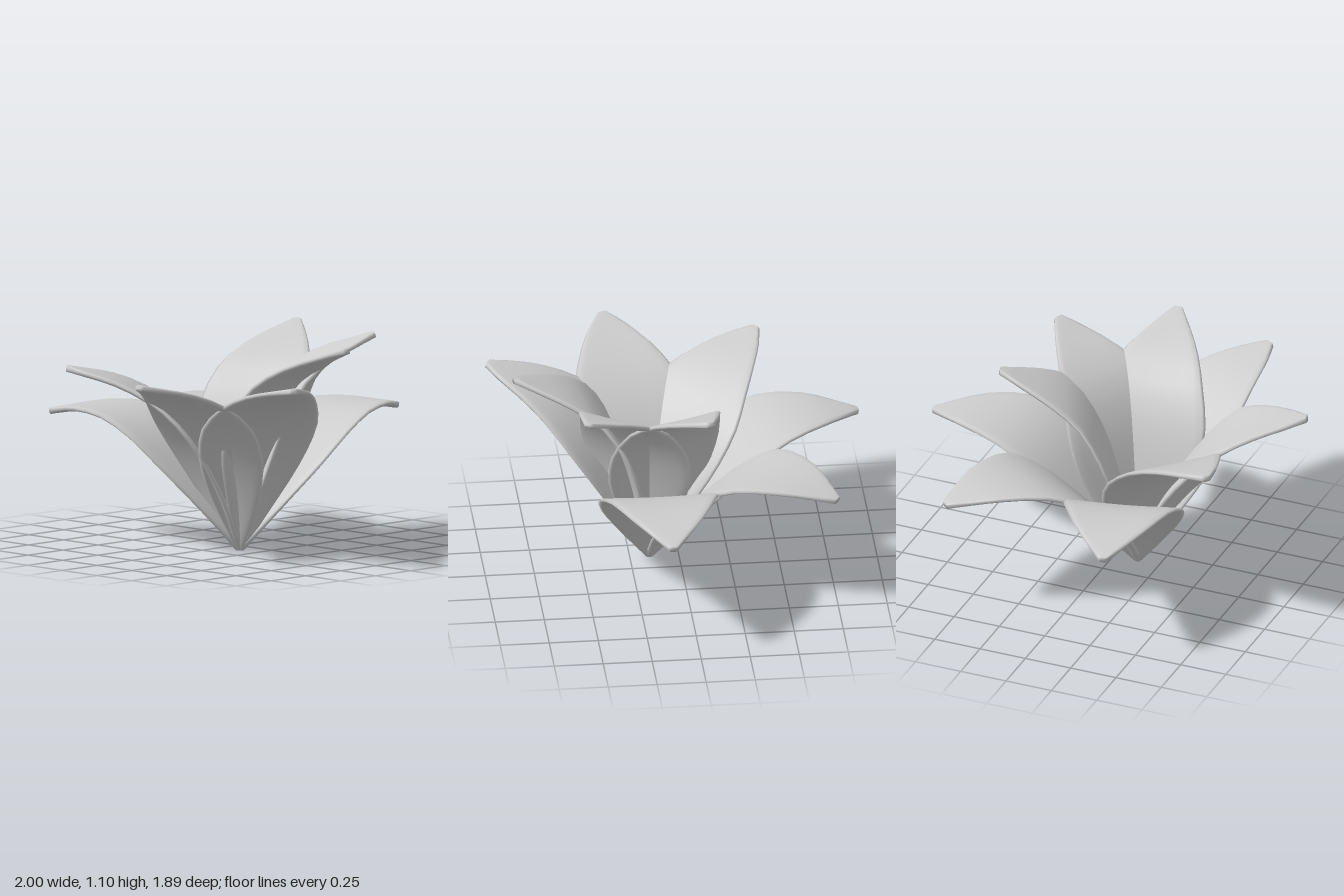
import * as THREE from 'three';

const RINGS = 16;      // cross-sections along a petal
const SIDES = 20;      // points around one cross-section
const THICK = 0.017;   // half thickness of a petal
const CUP = 0.05;      // how far the side edges curl inward

// Stations from base to tip: reach, height, half width
const LOW = [[0.002, 0.005, 0.02], [0.09, 0.145, 0.12], [0.2, 0.29, 0.21], [0.325, 0.43, 0.28],
  [0.48, 0.57, 0.31], [0.67, 0.655, 0.27], [0.88, 0.67, 0.185], [1.02, 0.65, 0.095], [1.12, 0.63, 0.025]];
const MIDDLE = [[0.002, 0.005, 0.02], [0.063, 0.19, 0.13], [0.135, 0.36, 0.225], [0.222, 0.52, 0.29],
  [0.335, 0.67, 0.31], [0.475, 0.79, 0.26], [0.64, 0.87, 0.18], [0.78, 0.91, 0.1], [0.88, 0.935, 0.025]];
const HIGH = [[0.002, 0.005, 0.02], [0.042, 0.19, 0.125], [0.085, 0.37, 0.22], [0.13, 0.54, 0.29],
  [0.193, 0.715, 0.305], [0.295, 0.875, 0.258], [0.435, 0.975, 0.19], [0.58, 1.038, 0.105], [0.7, 1.085, 0.025]];

// Closed, gently cupped petal growing along +x
function petalGeometry(stations) {
  const curve = new THREE.CatmullRomCurve3(stations.map((s) => new THREE.Vector3(...s)));
  const positions = [], index = [];

  const addRing = (t, scale) => {
    const p = curve.getPoint(t);
    const before = curve.getPoint(Math.max(0, t - 0.02));
    const after = curve.getPoint(Math.min(1, t + 0.02));
    const along = new THREE.Vector2(after.x - before.x, after.y - before.y).normalize();
    for (let j = 0; j < SIDES; j++) {
      const a = (j / SIDES) * Math.PI * 2;
      const u = Math.cos(a) * scale;
      const s = Math.sin(a);
      const lift = CUP * p.z * u * u + THICK * scale * Math.sign(s) * Math.pow(Math.abs(s), 0.45);
      positions.push(p.x - along.y * lift, p.y + along.x * lift, u * p.z);
    }
  };

  addRing(0, 0);
  for (let i = 0; i <= RINGS; i++) addRing(i / RINGS, 1);
  addRing(1, 0);

  for (let i = 0; i < RINGS + 2; i++) {
    for (let j = 0; j < SIDES; j++) {
      const k = (j + 1) % SIDES;
      const a = i * SIDES + j, b = i * SIDES + k;
      const c = a + SIDES, d = b + SIDES;
      index.push(a, c, b, b, c, d);
    }
  }
  const geometry = new THREE.BufferGeometry();
  geometry.setAttribute('position', new THREE.Float32BufferAttribute(positions, 3));
  geometry.setIndex(index);
  geometry.computeVertexNormals();
  return geometry;
}

export function createModel() {
  const model = new THREE.Group();
  model.name = 'flower';
  const petalGrey = new THREE.MeshStandardMaterial({ color: 0xcccccc });
  petalGrey.name = 'petal grey';

  // Three tiers of three petals, fanned around the shared base
  const tiers = [
    { name: 'lowPetal', stations: LOW, angles: [-104, -52.5, -0.5] },
    { name: 'middlePetal', stations: MIDDLE, angles: [116.6, 170, 223.6] },
    { name: 'highPetal', stations: HIGH, angles: [-20.7, 31.7, 84] },
  ];
  for (const { name, stations, angles } of tiers) {
    const geometry = petalGeometry(stations);
    angles.forEach((degrees, i) => {
      const petal = new THREE.Mesh(geometry, petalGrey);
      petal.name = `${name}${i + 1}`;
      petal.position.set(-0.13, 0, 0.15);
      petal.rotation.y = -THREE.MathUtils.degToRad(degrees);
      model.add(petal);
    });
  }
  return model;
}
